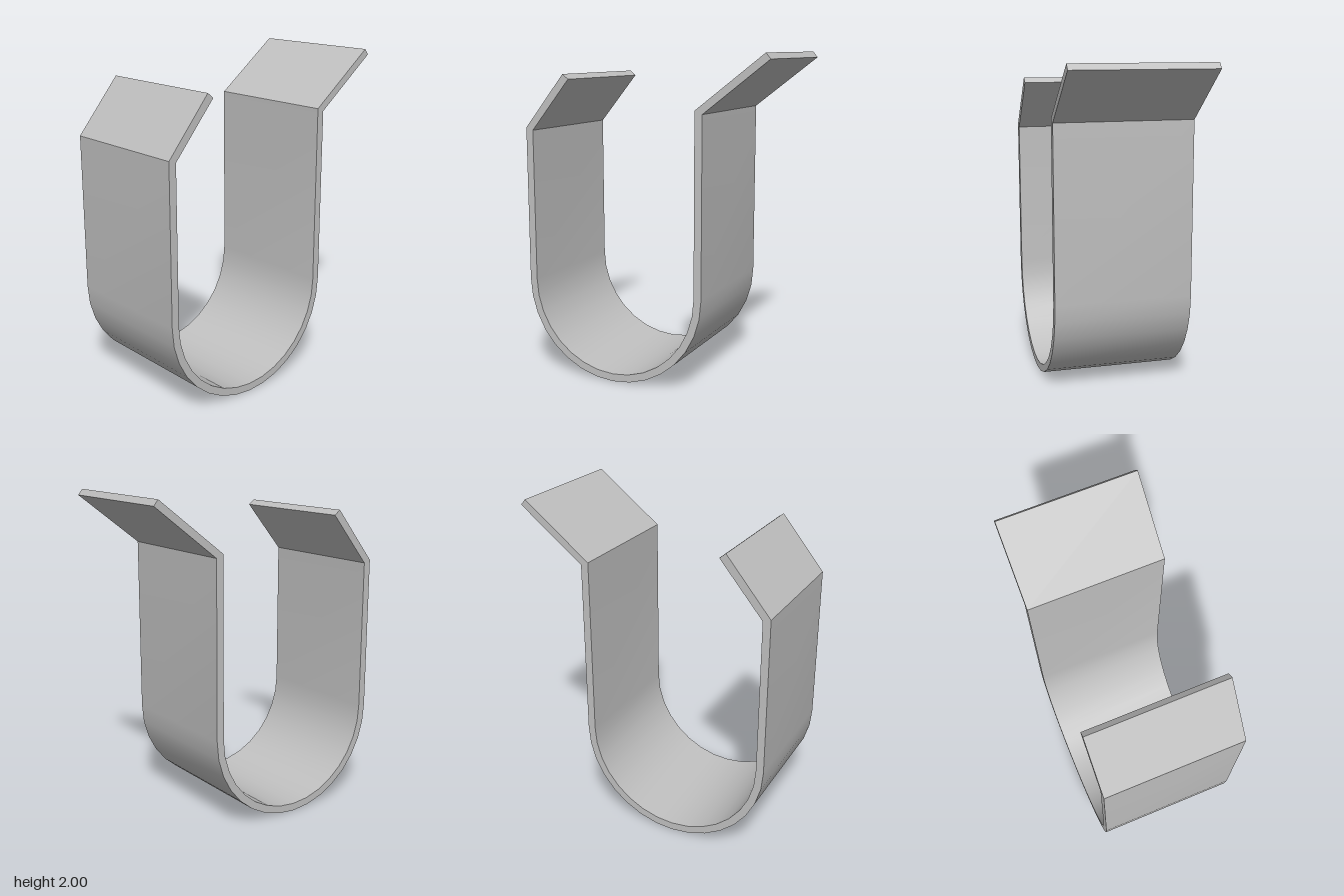
import * as THREE from 'three';
import { toCreasedNormals } from 'three/addons/utils/BufferGeometryUtils.js';

const WIDTH = 0.845;
const CENTRE_Z = 0.2, CENTRE_Y = 0.59; // centre of the round bend
const OUTER = 0.59, INNER = 0.543;
const SEGMENTS = 16;

// Half circle under the hook, from the front arm (+z) to the back arm
function bend(radius) {
  const points = [];
  for (let i = 0; i <= SEGMENTS; i++) {
    const a = (i / SEGMENTS) * Math.PI;
    points.push([CENTRE_Z + radius * Math.cos(a), CENTRE_Y - radius * Math.sin(a)]);
  }
  return points;
}

export function createModel() {
  const group = new THREE.Group();
  group.name = 'hook';
  const metal = new THREE.MeshStandardMaterial({ color: 0xc0c0c0 });
  metal.name = 'light grey metal';

  // Side outline as [z, y]: outer face front to back, then inner face returning
  const outline = [
    [0.52, 1.87], [0.79, 1.542],      // front lip, leaning inward
    ...bend(OUTER),
    [-0.39, 1.66], [-0.785, 1.966],   // back lip, leaning outward
    [-0.757, 2.0], [-0.343, 1.68],
    ...bend(INNER).reverse(),
    [0.743, 1.527], [0.482, 1.84],
  ];
  const shape = new THREE.Shape(outline.map(([z, y]) => new THREE.Vector2(z, y)));

  // Extrude the strip across its width and turn it so the front arm faces +z
  let geometry = new THREE.ExtrudeGeometry(shape, { depth: WIDTH, bevelEnabled: false });
  geometry.translate(0, 0, -WIDTH / 2);
  geometry.rotateY(-Math.PI / 2);
  geometry = toCreasedNormals(geometry, 0.4);
  geometry.clearGroups();

  const strip = new THREE.Mesh(geometry, metal);
  strip.name = 'bentStrip';
  group.add(strip);
  return group;
}
